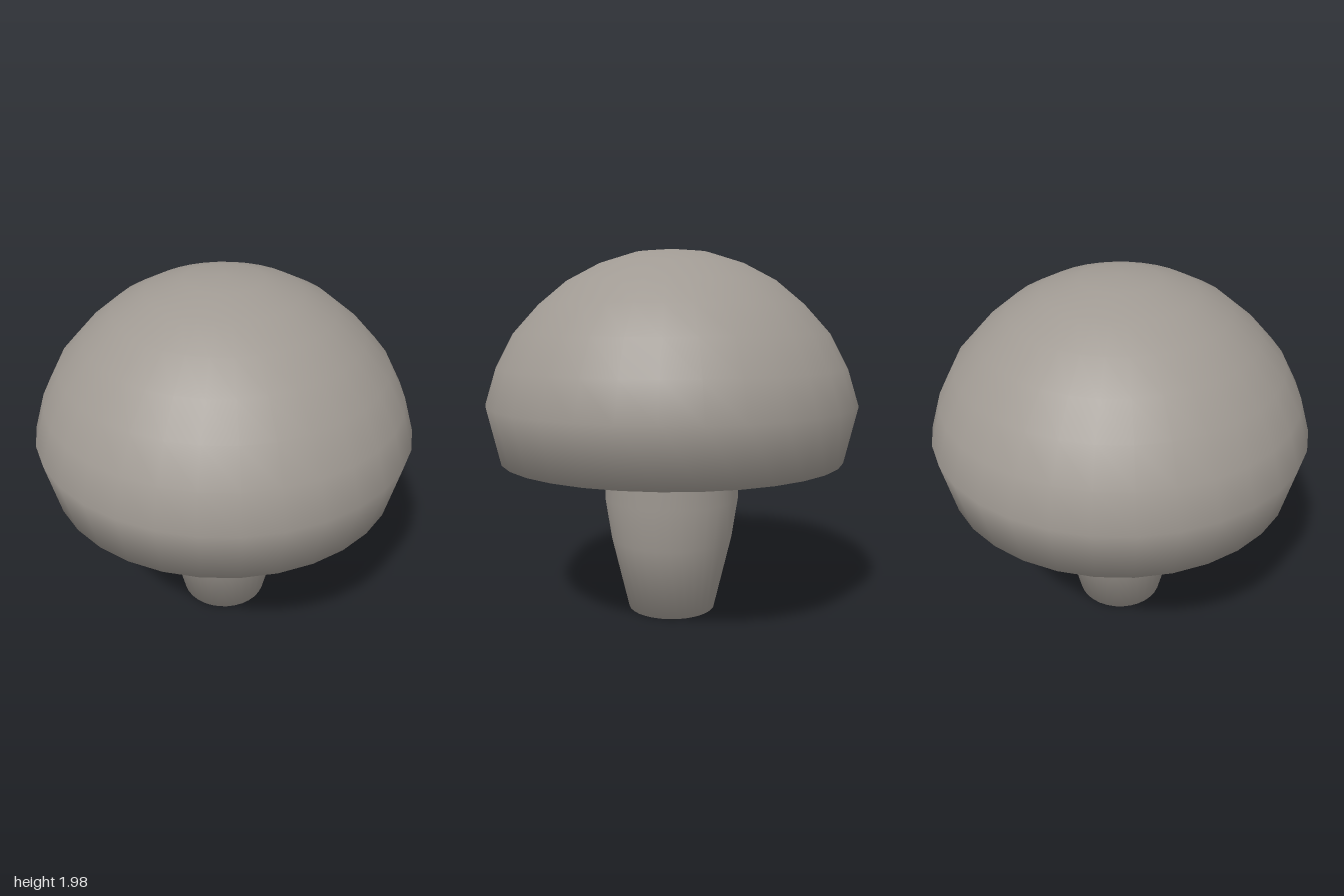
import * as THREE from 'three';

const SEGMENTS = 32;
const JOINT = 5; // profile point where the stem meets the cap

// [radius, height] from foot to crown
const PROFILE = [
  // stem: closed foot, bulging middle, flare under the cap
  [0, 0], [0.24, 0], [0.335, 0.4], [0.37, 0.63], [0.363, 0.87], [0.4, 1.17],
  // cap: hollow underside to the rim, then the dome
  [0.75, 0.945], [0.93, 0.855], [1, 1.155], [0.94, 1.35], [0.845, 1.53],
  [0.71, 1.68], [0.56, 1.805], [0.39, 1.895], [0.2, 1.955], [0, 1.975],
].map(([r, y]) => new THREE.Vector2(r, y));

// Smooth outward normal: the mean direction of the two adjoining faces
function profileNormal(i) {
  if (i === 0) return new THREE.Vector2(0, -1);
  if (i === PROFILE.length - 1) return new THREE.Vector2(0, 1);
  const before = PROFILE[i].clone().sub(PROFILE[i - 1]).normalize();
  const after = PROFILE[i + 1].clone().sub(PROFILE[i]).normalize();
  const along = before.add(after).normalize();
  return new THREE.Vector2(along.y, -along.x);
}

// Turns part of the profile, sharing smooth normals across the joint
function turned(name, first, last, material) {
  const points = PROFILE.slice(first, last + 1);
  const geometry = new THREE.LatheGeometry(points, SEGMENTS);
  const normals = geometry.attributes.normal;
  for (let s = 0; s <= SEGMENTS; s++) {
    const angle = (s / SEGMENTS) * Math.PI * 2;
    points.forEach((_, j) => {
      const n = profileNormal(first + j);
      normals.setXYZ(s * points.length + j, n.x * Math.sin(angle), n.y, n.x * Math.cos(angle));
    });
  }
  const mesh = new THREE.Mesh(geometry, material);
  mesh.name = name;
  return mesh;
}

export function createModel() {
  const group = new THREE.Group();
  group.name = 'mushroom';
  const material = new THREE.MeshStandardMaterial({ color: 0xa09a93 });
  group.add(
    turned('stem', 0, JOINT, material),
    turned('cap', JOINT, PROFILE.length - 1, material),
  );
  return group;
}
